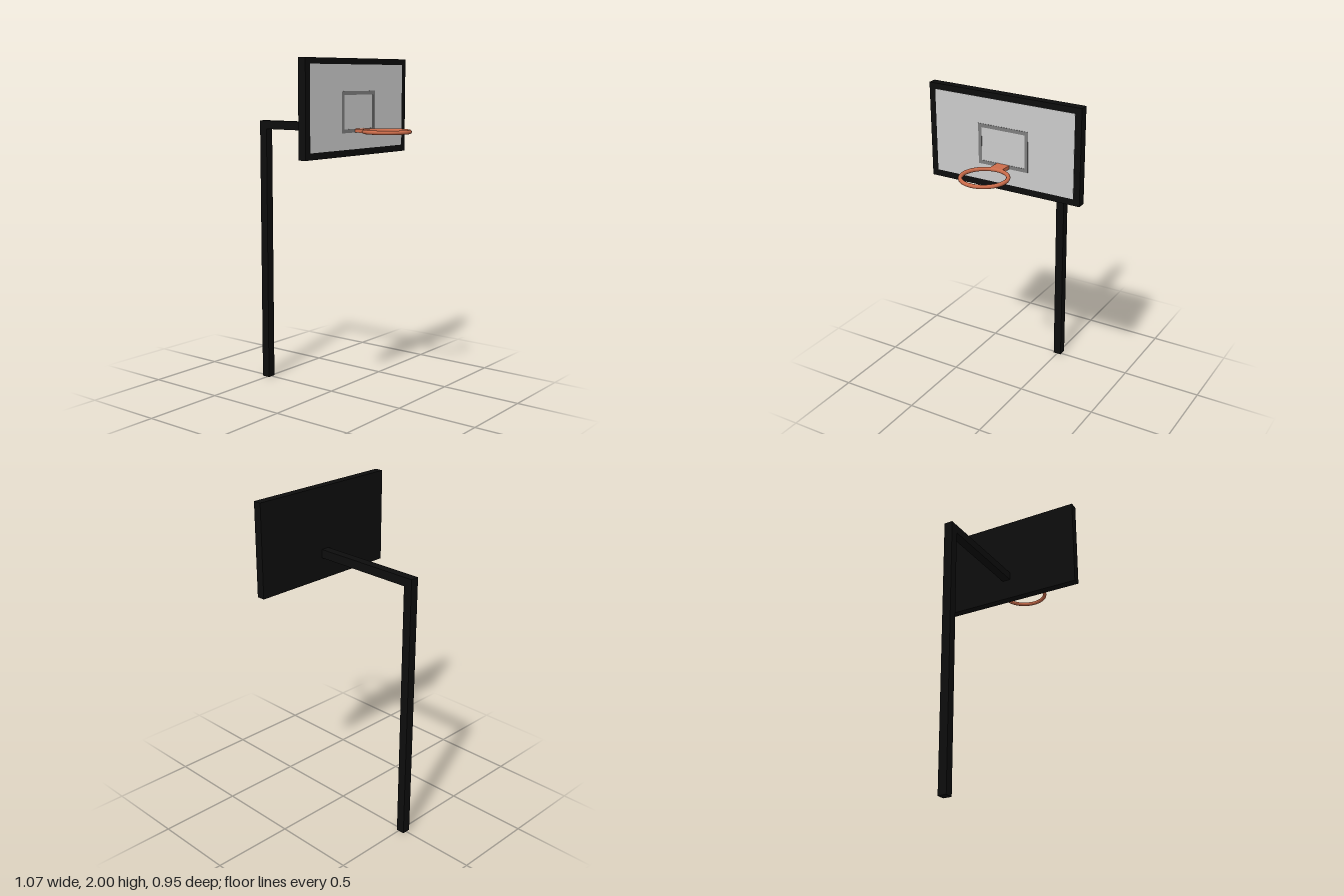
import * as THREE from 'three';

export function createModel() {
  const model = new THREE.Group();
  const material = (name, color) => {
    const m = new THREE.MeshStandardMaterial({ color });
    m.name = name;
    return m;
  };
  const black = material('black frame', 0x0d0d0d);
  const white = material('pale panel', 0xcbcbcb);
  const grey = material('grey marking', 0x7d7d7d);
  const orange = material('orange rim', 0xcb6c4a);

  const add = (name, geometry, mat) => {
    const mesh = new THREE.Mesh(geometry, mat);
    mesh.name = name;
    model.add(mesh);
    return mesh;
  };
  // Box given by its lower and upper corners
  const box = (name, [x0, y0, z0], [x1, y1, z1], mat) => {
    const mesh = add(name, new THREE.BoxGeometry(x1 - x0, y1 - y0, z1 - z0), mat);
    mesh.position.set((x0 + x1) / 2, (y0 + y1) / 2, (z0 + z1) / 2);
  };

  // Square post and the arm that carries the board
  box('post', [-0.538, 0, -0.026], [-0.486, 1.58, 0.026], black);
  box('arm', [-0.538, 1.58, -0.026], [0.16, 1.631, 0.026], black);

  // Backboard with a thin pale panel on its playing side
  box('backboard', [0.147, 1.45, -0.474], [0.197, 2, 0.474], black);
  box('panel', [0.194, 1.488, -0.436], [0.1985, 1.966, 0.436], white);

  // Target outline: top bar, bottom bar behind the rim, and two sides
  for (const y of [1.583, 1.796]) {
    box('targetBar', [0.196, y, -0.157], [0.2005, y + 0.021, 0.157], grey);
  }
  for (const s of [-1, 1]) {
    box('targetSide', [0.196, 1.604, s * 0.1465 - 0.0105], [0.2005, 1.796, s * 0.1465 + 0.0105], grey);
  }

  // Rim and its mounting bracket
  box('rimBracket', [0.197, 1.583, -0.039], [0.268, 1.604, 0.039], orange);
  const rim = add('rim', new THREE.TorusGeometry(0.129, 0.0115, 12, 48), orange);
  rim.rotation.x = Math.PI / 2;
  rim.position.set(0.395, 1.593, 0);

  return model;
}
